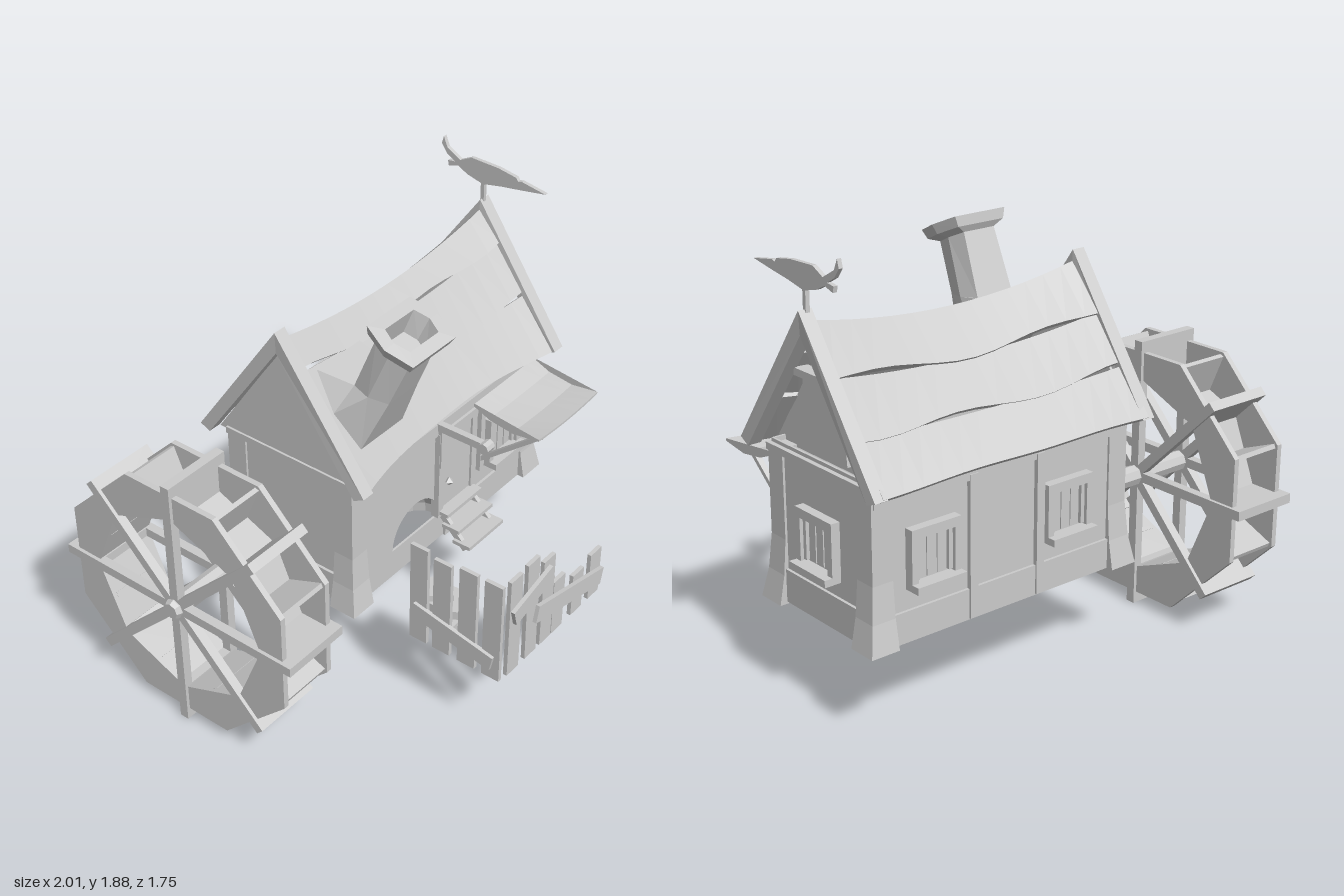
import * as THREE from 'three';

const mat = new THREE.MeshStandardMaterial({ color: 0xcccccc, flatShading: true, side: THREE.DoubleSide });
const V = (x, y, z) => new THREE.Vector3(x, y, z);
const shapeOf = pts => new THREE.Shape(pts.map(q => new THREE.Vector2(...q)));

function add(parent, name, geo) {
  const m = new THREE.Mesh(geo, mat);
  m.name = name;
  parent.add(m);
  return m;
}
function box(parent, name, w, h, d, x, y, z, rx = 0, ry = 0, rz = 0) {
  const m = add(parent, name, new THREE.BoxGeometry(w, h, d));
  m.position.set(x, y, z);
  m.rotation.set(rx, ry, rz);
  return m;
}
function group(parent, name) {
  const g = new THREE.Group();
  g.name = name;
  parent.add(g);
  return g;
}
// Skin over a list of closed rings, with optional end caps
function loft(rings, caps = true) {
  const p = [], n = rings[0].length;
  const tri = (...v) => v.forEach(q => p.push(q.x, q.y, q.z));
  for (let i = 0; i + 1 < rings.length; i++)
    for (let j = 0; j < n; j++) {
      const k = (j + 1) % n, a = rings[i], b = rings[i + 1];
      tri(a[j], b[j], b[k]);
      tri(a[j], b[k], a[k]);
    }
  if (caps) for (const r of [rings[0], rings[rings.length - 1]])
    for (let j = 1; j + 1 < n; j++) tri(r[0], r[j], r[j + 1]);
  const g = new THREE.BufferGeometry();
  g.setAttribute('position', new THREE.Float32BufferAttribute(p, 3));
  g.computeVertexNormals();
  return g;
}
// Outline given as [z, y], extruded from x back to x - depth
function sideExtrude(pts, depth, x, hole) {
  const s = shapeOf(pts);
  if (hole) s.holes.push(shapeOf(hole));
  return new THREE.ExtrudeGeometry(s, { depth, bevelEnabled: false }).rotateY(-Math.PI / 2).translate(x, 0, 0);
}

function windowUnit(parent, x, z, turn) {
  const g = group(parent, 'window');
  g.position.set(x, 0.72, z);
  g.rotation.y = turn;
  box(g, 'windowPane', 0.18, 0.2, 0.02, 0, 0, -0.005);
  for (const s of [-1, 1]) {
    box(g, 'windowJamb', 0.03, 0.24, 0.05, s * 0.103, 0, 0.01);
    box(g, 'innerJamb', 0.02, 0.17, 0.03, s * 0.08, -0.01, 0.005);
    box(g, 'paneBatten', 0.006, 0.17, 0.02, s * 0.025, -0.01, 0);
  }
  box(g, 'windowLintel', 0.235, 0.04, 0.05, 0, 0.1, 0.01);
  box(g, 'windowSill', 0.235, 0.03, 0.09, 0, -0.115, 0.025);
}

function buildWalls(root) {
  const g = group(root, 'walls');
  // Front wall with an arched hearth niche
  const s = shapeOf([[-0.34, 0.375], [0.93, 0.375], [0.93, 1.05], [-0.34, 1.05]]);
  s.holes.push(new THREE.Path().absarc(0.09, 0.51, 0.16, 0, Math.PI, false));
  add(g, 'frontWall', new THREE.ExtrudeGeometry(s, { depth: 0.01, bevelEnabled: false, curveSegments: 8 }).translate(0, 0, 0.11));
  const dome = add(g, 'hearthDome', new THREE.SphereGeometry(0.16, 8, 5, 0, Math.PI, 0, Math.PI / 2).scale(1, 1, -0.8));
  dome.position.set(0.09, 0.51, 0.11);
  box(g, 'backWall', 1.27, 0.675, 0.01, 0.295, 0.712, -0.515);
  for (const x of [-0.335, 0.925]) box(g, 'sideWall', 0.01, 0.675, 0.62, x, 0.712, -0.2);
  // Flared corner posts
  for (const sx of [-1, 1]) for (const sz of [-1, 1]) {
    const ring = (y, o) => {
      const x = 0.295 + sx * (0.645 + o), z = -0.2 + sz * (0.33 + o);
      const xi = 0.295 + sx * 0.55, zi = -0.2 + sz * 0.235;
      return [V(x, y, z), V(xi, y, z), V(xi, y, zi), V(x, y, zi)];
    };
    add(g, 'cornerPost', loft([ring(0.375, 0.035), ring(0.5, 0.012), ring(0.65, 0), ring(1.03, 0)]));
  }
  // Sill and head beams
  for (const z of [0.12, -0.52]) box(g, 'headBeam', 1.27, 0.06, 0.03, 0.295, 0.985, z);
  box(g, 'footBeam', 0.6, 0.13, 0.025, 0.59, 0.44, 0.12);
  box(g, 'footBeam', 1.2, 0.13, 0.025, 0.295, 0.44, -0.52);
  for (const x of [-0.34, 0.93]) {
    box(g, 'headBeam', 0.04, 0.03, 0.66, x, 1.02, -0.2);
    box(g, 'footBeam', 0.025, 0.14, 0.5, x, 0.455, -0.2);
  }
  for (const x of [0.12, 0.46]) box(g, 'backStud', 0.04, 0.6, 0.03, x, 0.68, -0.525);
  for (const x of [-0.02, 0.66]) windowUnit(g, x, -0.525, Math.PI);
  windowUnit(g, 0.69, 0.125, 0);
  windowUnit(g, 0.935, -0.2, Math.PI / 2);
  // Gables: the left one is flush, the right one holds a leaning panel
  const tri = [[0.17, 1.02], [-0.2, 1.555], [-0.57, 1.02]];
  add(g, 'leftGable', sideExtrude(tri, 0.02, -0.33));
  add(g, 'rightGable', sideExtrude(tri, 0.02, 0.87));
  add(g, 'gablePanel', sideExtrude([[-0.05, 1.06], [-0.08, 1.36], [-0.32, 1.36], [-0.35, 1.06]], 0.03, 0.91));
  box(g, 'gableTie', 0.06, 0.03, 0.24, 0.92, 1.375, -0.2);
}

function buildRoof(root) {
  const g = group(root, 'roof');
  const N = 14;
  const sag = x => Math.pow((x - 0.3) / 0.68, 2);
  const point = (x, t, side, lift) => {
    const ridge = 1.53 + 0.075 * Math.min(sag(x), 1.1);
    const half = side > 0 ? 0.33 + 0.085 * sag(x) : 0.41 + 0.015 * sag(x);
    const out = lift * 0.75 * Math.min(1, t * 10);
    return V(x, ridge + (1.03 - ridge) * t + lift * 0.65, -0.2 + side * (half * t + out));
  };
  // Overlapping courses with uneven lower edges
  for (const [side, cuts] of [[1, [0, 0.22, 0.6, 1]], [-1, [0, 0.33, 0.67, 1]]]) for (let c = 0; c < 3; c++) {
    const rings = [], lift = [0.016, 0.008, 0.012][c];
    for (let i = 0; i <= N; i++) {
      const x = -0.37 + 1.33 * i / N;
      const t0 = cuts[c], t1 = cuts[c + 1] + (c < 2 ? 0.025 * Math.sin(x * 8 + c * 2 + side) : 0.005 * Math.sin(x * 9));
      rings.push([point(x, t0, side, 0.002), point(x, t1, side, lift), point(x, t1, side, -0.015), point(x, t0, side, -0.025)]);
    }
    add(g, 'roofCourse', loft(rings));
  }
  // Barge boards on both ends, leaning outward to the peak
  const board = [[0.23, 1.04], [-0.2, 1.645], [-0.635, 1.03], [-0.585, 1.01], [-0.2, 1.55], [0.18, 1.015]];
  for (const [x, s] of [[-0.325, -1], [0.985, 1]]) {
    const geo = sideExtrude(board, 0.06, x), p = geo.attributes.position;
    for (let i = 0; i < p.count; i++) p.setX(i, p.getX(i) + s * 0.015 * Math.abs(p.getY(i) - 1.3) / 0.3);
    add(g, 'bargeBoard', geo);
  }
  // Weather vane on the right peak
  box(g, 'vanePole', 0.018, 0.15, 0.018, 0.965, 1.69, -0.2);
  add(g, 'vaneBird', sideExtrude([[0.12, 1.77], [0, 1.79], [-0.02, 1.785], [-0.03, 1.8], [-0.12, 1.815], [-0.26, 1.82], [-0.32, 1.79], [-0.39, 1.83],
    [-0.41, 1.875], [-0.42, 1.84], [-0.39, 1.8], [-0.345, 1.775], [-0.385, 1.77], [-0.38, 1.745], [-0.33, 1.76], [-0.28, 1.735], [-0.2, 1.715], [-0.1, 1.735], [0, 1.75]], 0.018, 0.974));
}

function buildChimney(root) {
  // Rows: centre y, centre z, half width, half depth, backward tilt
  const rows = [[1.32, 0.02, 0.165, 0.18, 0.92], [1.425, 0.15, 0.115, 0.085, 0.1], [1.655, 0.245, 0.1, 0.085, 0.42], [1.675, 0.255, 0.15, 0.11, 0.42],
    [1.715, 0.27, 0.165, 0.12, 0.42], [1.72, 0.272, 0.11, 0.065, 0.42], [1.62, 0.235, 0.085, 0.06, 0.42]];
  const rings = rows.map(([y, z, w, d, tilt]) => Array.from({ length: 6 }, (_, i) => {
    const a = i * Math.PI / 3, v = Math.sin(a) / Math.sin(Math.PI / 3);
    const u = Math.abs(v) > 0.1 ? Math.sign(Math.cos(a)) * 0.8 : Math.cos(a);
    return V(-0.155 + w * u, y - d * v * Math.sin(tilt), z + d * v * Math.cos(tilt));
  }));
  add(root, 'chimney', loft(rings));
}

function buildWheel(root) {
  const g = group(root, 'waterWheel');
  g.position.set(0, 0.605, -0.275);
  const polar = (r, a) => [r * Math.cos(a), r * Math.sin(a)];
  const ringPts = (r, off) => Array.from({ length: 8 }, (_, i) => polar(r, off + i * Math.PI / 4));
  const outer = ringPts(0.6, Math.PI / 8), inner = ringPts(0.44, 0);
  for (const x of [-0.935, -0.675]) add(g, 'wheelSide', sideExtrude(outer, 0.025, x, inner));
  add(g, 'wheelFloor', loft([-0.95, -0.69].map(x => inner.map(([z, y]) => V(x, y, z))), false));
  for (let i = 0; i < 8; i++) {
    const arm = group(g, 'spoke');
    arm.rotation.x = i * Math.PI / 4;
    for (const x of [-0.955, -0.68]) box(arm, 'spokeBar', 0.04, 0.605, 0.042, x, 0.3025, 0);
    box(arm, 'paddle', 0.26, 0.18, 0.042, -0.815, 0.515, 0);
    const mid = group(g, 'middlePaddle');
    mid.rotation.x = (i + 0.5) * Math.PI / 4;
    box(mid, 'paddle', 0.25, 0.18, 0.02, -0.815, 0.495, 0);
  }
  // Stepped axle
  const prof = [[0, -1], [0.035, -1], [0.045, -0.98], [0.045, -0.48], [0.022, -0.44], [0.022, -0.32], [0, -0.32]];
  add(g, 'axle', new THREE.LatheGeometry(prof.map(q => new THREE.Vector2(...q)), 8).rotateZ(-Math.PI / 2));
}

function buildFrontage(root) {
  const g = group(root, 'frontage');
  // Door, frame and knob
  box(g, 'door', 0.21, 0.42, 0.02, 0.35, 0.75, 0.125);
  for (const x of [0.235, 0.47]) box(g, 'doorPost', 0.035, 0.44, 0.04, x, 0.74, 0.125);
  box(g, 'doorLintel', 0.27, 0.035, 0.045, 0.352, 0.945, 0.125);
  const knob = add(g, 'doorKnob', new THREE.OctahedronGeometry(0.022));
  knob.position.set(0.29, 0.68, 0.145);
  // Steps
  for (let i = 0; i < 3; i++) box(g, 'stepTread', 0.25, 0.018, 0.09, 0.35, 0.425 + i * 0.06, 0.265 - i * 0.06);
  for (const x of [0.25, 0.45]) box(g, 'stepStringer', 0.02, 0.03, 0.2, x, 0.465, 0.205, Math.PI / 4);
  // Cloth awning on two braces
  const cloth = [];
  for (let i = 0; i <= 8; i++) {
    const u = i / 8 * 2 - 1, x = 0.695 + 0.225 * u;
    const line = [[0.12, 0.985], [0.22, 0.94], [0.34, 0.92], [0.47, 0.935]].map(([z, y], k) => V(x, y + 0.004 * k * (u * u - 0.4), z));
    cloth.push([...line, ...line.slice().reverse().map(p => V(p.x, p.y - 0.01, p.z))]);
  }
  add(g, 'awning', loft(cloth));
  for (const x of [0.53, 0.83]) {
    box(g, 'awningBrace', 0.025, 0.43, 0.02, x, 0.785, 0.29, 0.88);
    box(g, 'awningPost', 0.03, 0.34, 0.025, x, 0.77, 0.135);
  }
  // Bracket arm with a rounded end
  box(g, 'bracketArm', 0.03, 0.035, 0.24, 0.23, 1, 0.24);
  const end = add(g, 'bracketEnd', new THREE.CylinderGeometry(0.026, 0.026, 0.05, 8).rotateZ(Math.PI / 2));
  end.position.set(0.23, 1, 0.37);
  box(g, 'bracketPost', 0.022, 0.22, 0.025, 0.23, 0.9, 0.14);
}

function buildYard(root) {
  const f = group(root, 'fence');
  // Rows: centre, top height, lean
  for (const [x, top, lean] of [[-0.23, 0.86, 0], [-0.11, 0.87, 0.02], [0, 0.81, 0], [0.085, 0.65, 0], [0.23, 0.585, 0], [0.36, 0.61, 0]])
    box(f, 'frontPicket', 0.08, top - 0.375, 0.018, x, (top + 0.375) / 2, 0.845, 0, 0, lean);
  for (const [z, top] of [[0.805, 0.86], [0.685, 0.86], [0.56, 0.84], [0.445, 0.86]])
    box(f, 'sidePicket', 0.018, top - 0.375, 0.085, -0.31, (top + 0.375) / 2, z);
  box(f, 'frontPlank', 0.27, 0.075, 0.018, -0.125, 0.71, 0.863, 0, 0, 0.26);
  box(f, 'frontPlank', 0.5, 0.08, 0.018, 0.15, 0.525, 0.863, 0, 0, -0.24);
  box(f, 'sidePlank', 0.018, 0.07, 0.4, -0.325, 0.5, 0.62, 0.2);
  // Anvil with its horn toward the fence
  const a = group(root, 'anvil');
  box(a, 'anvilFoot', 0.13, 0.04, 0.17, -0.17, 0.395, 0.455);
  box(a, 'anvilWaist', 0.07, 0.07, 0.09, -0.17, 0.445, 0.455);
  const top = shapeOf([[-0.24, -0.35], [-0.1, -0.35], [-0.09, -0.52], [-0.15, -0.63], [-0.18, -0.63], [-0.24, -0.52]]);
  add(a, 'anvilTop', new THREE.ExtrudeGeometry(top, { depth: 0.04, bevelEnabled: false }).rotateX(-Math.PI / 2).translate(0, 0.475, 0));
  box(a, 'workpiece', 0.08, 0.03, 0.1, -0.17, 0.53, 0.45, 0, 0.7);
}

export function createModel() {
  const root = new THREE.Group();
  root.name = 'watermill';
  for (const build of [buildWalls, buildRoof, buildChimney, buildWheel, buildFrontage, buildYard]) build(root);
  return root;
}
